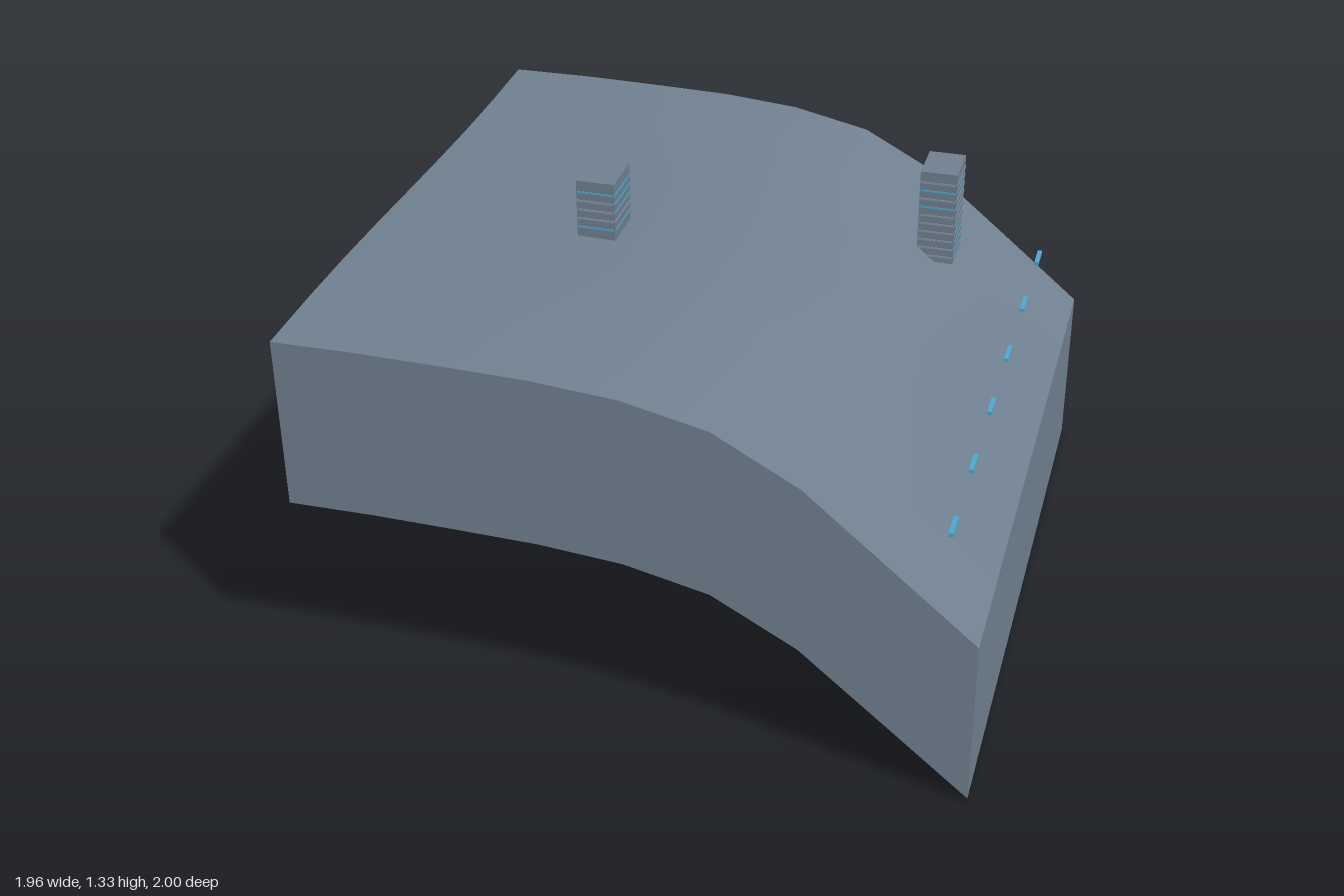
import * as THREE from 'three';

const X0 = -0.98, X1 = 0.975, Z0 = -0.955, Z1 = 1, N = 8, DEPTH = 0.522;
const PROFILE = [1.16, 1.163, 1.16, 1.155, 1.135, 1.08, 0.945, 0.738, 0.53];

// hill height: a cross-section along x with a gentle wave along z
function hillY(x, z) {
  const t = THREE.MathUtils.clamp((x - X0) / (X1 - X0), 0, 1) * N;
  const i = Math.min(Math.floor(t), N - 1);
  const base = THREE.MathUtils.lerp(PROFILE[i], PROFILE[i + 1], t - i);
  const fade = 1 - 0.7 * THREE.MathUtils.smoothstep(x, 0, X1);
  return base + fade * (-0.01 + 0.016 * Math.cos(Math.PI * (z - 0.7) / 1.3));
}

// moves every vertex of a plane grid by a rule on its (u, v)
function surface(rows, rule) {
  const geo = new THREE.PlaneGeometry(1, 1, N, rows);
  const pos = geo.attributes.position;
  for (let i = 0; i < pos.count; i++) {
    pos.setXYZ(i, ...rule(pos.getX(i) + 0.5, pos.getY(i) + 0.5));
  }
  geo.computeVertexNormals();
  return geo;
}

export function createModel() {
  const slate = new THREE.MeshStandardMaterial({ color: 0x708090, side: THREE.DoubleSide });
  slate.name = 'slate';
  const paleSlate = new THREE.MeshStandardMaterial({ color: 0x8796a4 });
  paleSlate.name = 'paleSlate';
  const blue = new THREE.MeshStandardMaterial({ color: 0x4fa8cc });
  blue.name = 'lightBlue';

  const model = new THREE.Group();
  const add = (parent, name, geo, mat, x = 0, y = 0, z = 0) => {
    const mesh = new THREE.Mesh(geo, mat);
    mesh.name = name;
    mesh.position.set(x, y, z);
    parent.add(mesh);
    return mesh;
  };
  const lerp = THREE.MathUtils.lerp;

  // curved ground
  add(model, 'hillTop', surface(N, (u, v) => {
    const x = lerp(X0, X1, u), z = lerp(Z1, Z0, v);
    return [x, hillY(x, z), z];
  }), slate);

  // skirt walls hanging from each edge, open underneath
  const wall = (name, edge) => add(model, name, surface(1, (u, v) => {
    const [x, z] = edge(u);
    return [x, hillY(x, z) - (1 - v) * DEPTH, z];
  }), slate);
  wall('frontWall', u => [lerp(X0, X1, u), Z1]);
  wall('backWall', u => [lerp(X1, X0, u), Z0]);
  wall('leftWall', u => [X1, lerp(Z1, Z0, u)]);
  wall('rightWall', u => [X0, lerp(Z0, Z1, u)]);

  // towers with thin window bands; lit lists the blue bands on each pair of sides
  const W = 0.115, D = 0.152, STEP = 0.028;
  function tower(name, x, z, height, litFront, litSide) {
    const g = new THREE.Group();
    g.name = name;
    g.position.set(x, hillY(x, z), z);
    add(g, 'towerBody', new THREE.BoxGeometry(W, height, D), slate, 0, height / 2, 0);
    const count = Math.floor((height - 0.02) / STEP);
    for (let i = 0; i < count; i++) {
      const y = height - 0.036 - i * STEP;
      for (const s of [-1, 1]) {
        add(g, 'windowBand', new THREE.BoxGeometry(W * 0.96, 0.006, 0.003),
          litFront.includes(i) ? blue : paleSlate, 0, y, s * D / 2);
        add(g, 'windowBand', new THREE.BoxGeometry(0.003, 0.006, D * 0.96),
          litSide.includes(i) ? blue : paleSlate, s * W / 2, y, 0);
      }
    }
    model.add(g);
  }
  tower('upperTower', -0.328, 0.105, 0.182, [0, 4], [0, 1, 2, 4]);
  tower('slopeTower', 0.568, -0.547, 0.308, [1, 3], [1, 7, 9]);

  // row of marker bars along the lower slope
  for (let i = 0; i < 6; i++) {
    const z = -0.957 + i * 0.3255;
    add(model, 'markerBar', new THREE.BoxGeometry(0.014, 0.012, 0.086), blue, 0.842, hillY(0.842, z) + 0.027, z);
  }
  return model;
}
